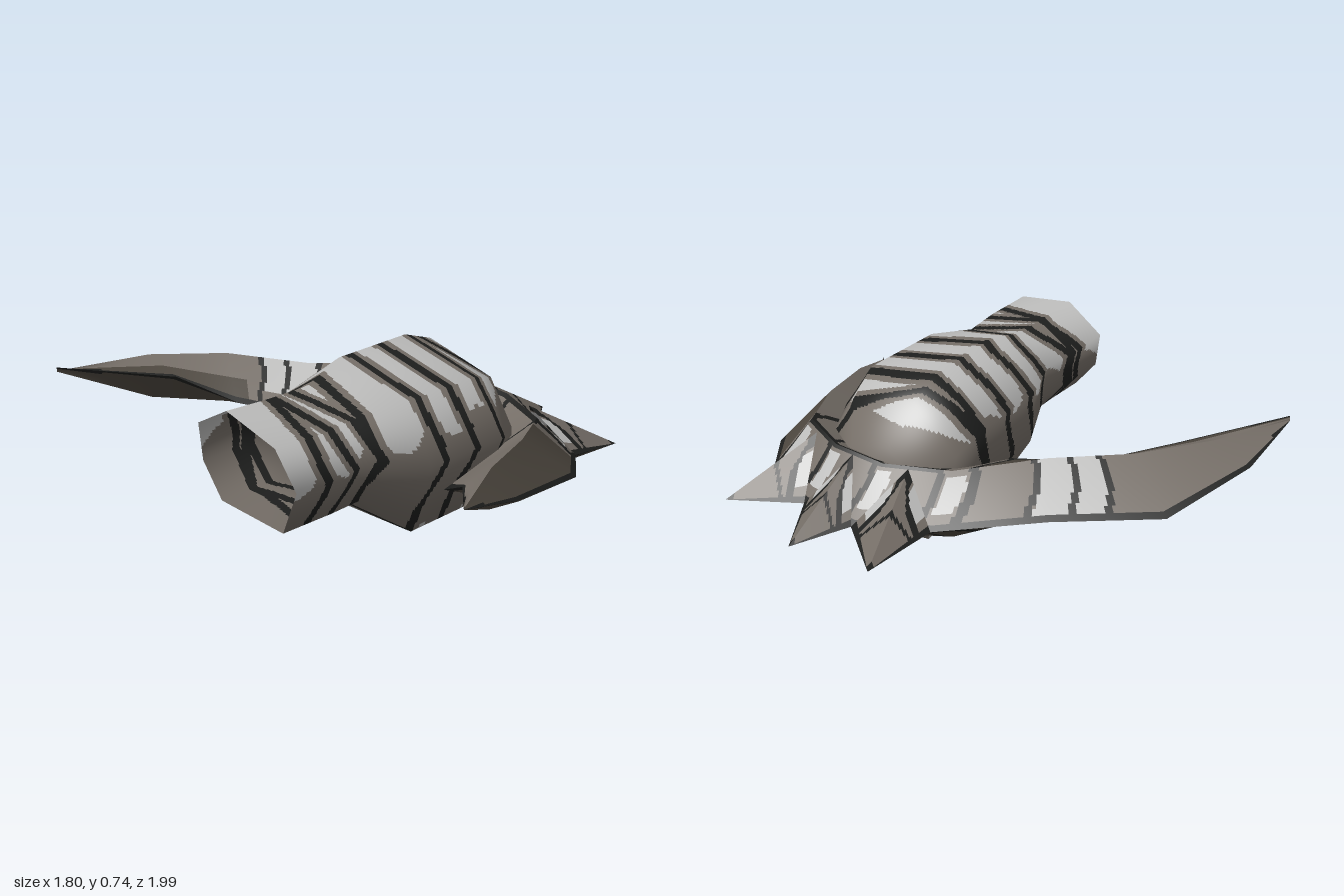
import * as THREE from 'three';

const flat = (name, color) => {
  const m = new THREE.MeshStandardMaterial({ color, side: THREE.DoubleSide });
  m.name = name;
  return m;
};
const LIGHT = 0, BROWN = 1, DARK = 2, BLACK = 3;
const V = (x, y, z) => new THREE.Vector3(x, y, z);

// Subdivides a coarse grid of points with smooth normals; paint(p, u, v) picks
// the colour of each small cell, u and v counting in coarse cells.
function panel(name, grid, closed, su, sv, materials, paint) {
  const R = grid.length, C = grid[0].length, cols = closed ? C : C - 1;
  const coarse = new THREE.BufferGeometry().setFromPoints(grid.flat());
  const ci = [];
  for (let r = 0; r < R - 1; r++) {
    for (let c = 0; c < cols; c++) {
      const d = (c + 1) % C, a = r * C + c, b = r * C + d, e = a + C, f = b + C;
      ci.push(a, e, b, b, e, f);
    }
  }
  coarse.setIndex(ci);
  coarse.computeVertexNormals();
  const N = coarse.attributes.normal;
  const normalAt = (r, c) => new THREE.Vector3().fromBufferAttribute(N, r * C + c);
  const pointAt = (r, c) => grid[r][c];
  const mix = (get, u, v) => {
    const r = Math.min(Math.floor(u), R - 2), c = Math.min(Math.floor(v), cols - 1);
    const d = (c + 1) % C;
    const p = get(r, c).clone().lerp(get(r, d), v - c);
    return p.lerp(get(r + 1, c).clone().lerp(get(r + 1, d), v - c), u - r);
  };

  const nu = (R - 1) * su, nv = cols * sv;
  const pos = [], nor = [], lists = materials.map(() => []);
  for (let i = 0; i <= nu; i++) {
    for (let j = 0; j <= nv; j++) {
      pos.push(...mix(pointAt, i / su, j / sv));
      nor.push(...mix(normalAt, i / su, j / sv).normalize());
    }
  }
  for (let i = 0; i < nu; i++) {
    for (let j = 0; j < nv; j++) {
      const u = (i + 0.5) / su, v = (j + 0.5) / sv;
      const a = i * (nv + 1) + j, b = a + 1, e = a + nv + 1, f = e + 1;
      lists[paint(mix(pointAt, u, v), u, v)].push(a, e, b, b, e, f);
    }
  }
  const geo = new THREE.BufferGeometry();
  geo.setAttribute('position', new THREE.Float32BufferAttribute(pos, 3));
  geo.setAttribute('normal', new THREE.Float32BufferAttribute(nor, 3));
  geo.setIndex(lists.flat());
  let start = 0;
  lists.forEach((l, m) => {
    if (l.length) geo.addGroup(start, l.length, m);
    start += l.length;
  });
  const mesh = new THREE.Mesh(geo, materials);
  mesh.name = name;
  return mesh;
}

// Striped sleeve: x, top, bottom, back z, front z
const SLEEVE = [
  [-0.88, 0.71, 0.305, 0.03, 0.62], [-0.66, 0.69, 0.295, 0.03, 0.63],
  [-0.47, 0.68, 0.27, 0.05, 0.6], [-0.27, 0.735, 0.065, -0.03, 0.71],
  [0.13, 0.71, 0.055, -0.06, 0.73], [0.3, 0.64, 0.0, -0.04, 0.66],
  [0.42, 0.46, 0.08, 0.09, 0.52], [0.46, 0.35, 0.2, 0.25, 0.4], [0.465, 0.29, 0.28, 0.32, 0.33],
];
// Cross-section of the sleeve as z, y within its bounds
const SECTION = [[1, 0.1], [0.6, 0.77], [-0.37, 1], [-1, 0.42], [-0.93, -0.35], [-0.55, -1], [0.72, -0.9]];
// Black rings: x at the middle, slant along z, highest y
const RINGS = [
  [-0.69, -0.17, 1], [-0.64, 0.17, 1], [-0.53, 0.3, 1], [-0.43, -0.08, 1], [-0.21, 0.09, 1],
  [-0.03, 0.08, 1], [0.15, 0.05, 1], [0.26, 0.28, 1], [0.34, 0.1, 0.35], [0.44, -0.1, 0.35],
];

function paintSleeve(p) {
  const wob = 0.01 * Math.sin(p.y * 17 + p.z * 11);
  if (p.x > 0.452) return BLACK;
  let d = 9;
  for (const [c, s, high] of RINGS) {
    if (p.y > high) continue;
    const x = c + s * (p.z - 0.33) + 0.25 * Math.min(0, p.y - 0.5) + wob;
    d = Math.min(d, Math.abs(p.x - x));
  }
  if (d < 0.019) return BLACK;
  if (d < 0.046) return BROWN;
  const limit = 0.52 + 0.03 * Math.sin(p.x * 23);
  const under = p.y < 0.09 + 0.03 * Math.sin(p.x * 19);
  return p.y > limit || under ? LIGHT : BROWN;
}

function sleeve(materials) {
  const grid = SLEEVE.map(([x, top, bottom, back, front], i) => SECTION.map(([cz, cy]) => {
    const z = (back + front) / 2 + (front - back) / 2 * cz;
    const y = (top + bottom) / 2 + (top - bottom) / 2 * cy;
    return V(i ? x : x - 0.06 * (z - 0.33), y, z);
  }));
  return panel('stripedSleeve', grid, true, 36, 16, materials, paintSleeve);
}

// Crescent blade, back tip to front tip:
// inner x, z, outer x, z, edge y, top y, bottom y, ridge position across
const BLADE = [
  [-0.83, -0.983, -0.826, -0.987, 0.47, 0.472, 0.468, 0.5],
  [-0.43, -0.66, -0.46, -1.0, 0.4, 0.48, 0.27, 0.5],
  [-0.29, -0.42, -0.02, -0.87, 0.31, 0.465, 0.225, 0.45],
  [-0.15, -0.18, 0.25, -0.48, 0.28, 0.44, 0.17, 0.5],
  [-0.13, 0.02, 0.54, -0.1, 0.23, 0.425, 0.11, 0.73],
  [0.1, 0.18, 0.67, 0.22, 0.2, 0.42, 0.08, 0.66],
  [0.1, 0.42, 0.65, 0.51, 0.2, 0.42, 0.08, 0.67],
  [0.02, 0.58, 0.55, 0.8, 0.21, 0.425, 0.09, 0.65],
  [-0.14, 0.66, 0.35, 0.95, 0.24, 0.445, 0.16, 0.57],
  [-0.18, 0.79, -0.08, 0.99, 0.32, 0.445, 0.26, 0.5],
  [-0.37, 0.957, -0.368, 0.961, 0.385, 0.387, 0.383, 0.5],
];

// v runs from the ridge (0) to the sharp edge (1)
function paintBlade(top, outer, u, v) {
  const w = u + (outer ? 0.04 : -0.04) * Math.sin(v * 5);
  const near = (x, r) => Math.abs(w - x) < r;
  if (v > 0.87 || ((u < 0.4 || u > 9.6) && v > 0.7)) return BLACK;
  if (top && u > 4.2 && u < 7.2 && v < 0.07) return BLACK;
  if ([2.42, 2.75, 3.14].some((x) => near(x, 0.035))) return BLACK;
  if ([3.76, 4.15, 5.14, 6.16, 7.12].some((x) => near(x, 0.055))) return BLACK;
  if (w > 2.42 && w < 3.1) return !outer && v > 0.65 ? BROWN : LIGHT;
  if (top && outer && v > 0.12 && v < 0.7 && [3.95, 4.95, 5.97, 6.94].some((x) => near(x, 0.11))) return LIGHT;
  if (!top) return DARK;
  if (outer) return u > 7.3 ? DARK : BROWN;
  if (u < 2.2 && v > 0.5) return DARK;
  return u > 3.3 && u < 3.8 ? DARK : BROWN;
}

function blade(materials) {
  const g = new THREE.Group();
  g.name = 'crescentBlade';
  for (const top of [true, false]) {
    for (const outer of [true, false]) {
      const grid = BLADE.map(([ix, iz, ox, oz, ye, yt, yb, f]) => {
        const ridge = V(ix + (ox - ix) * f, top ? yt : yb, iz + (oz - iz) * f);
        const edge = outer ? V(ox, ye, oz) : V(ix, ye + 0.02, iz);
        return [ridge, edge];
      });
      const name = (top ? 'upper' : 'lower') + (outer ? 'Outer' : 'Inner') + 'Face';
      g.add(panel(name, grid, false, 28, 18, materials, (p, u, v) => paintBlade(top, outer, u, v)));
    }
  }
  return g;
}

// Spike: a four-sided pyramid growing from the outer edge
function spike(name, a, b, ridge, tip, materials) {
  const g = new THREE.Group();
  g.name = name;
  const low = ridge.clone().setY(0.08);
  for (const [side, edge] of [['back', a], ['front', b]]) {
    for (const [level, mid] of [['Upper', ridge], ['Lower', low]]) {
      const base = [mid, edge];
      const grid = [base, base.map((p) => p.clone().lerp(tip, 0.995))];
      const upper = level === 'Upper';
      g.add(panel(side + level + 'Face', grid, false, 32, 20, materials, (p, u, v) => {
        if (u > 0.9 || v > 0.88 || (v < 0.2 && u < 0.05)) return BLACK;
        // Pale gaps between spikes, a dark line, then the brown spike
        const gap = 0.17 * Math.min(1, v * 2.5);
        if (upper && u < gap) return v > 0.25 && v < 0.75 ? LIGHT : BROWN;
        if (u > gap && u < gap + 0.07) return BLACK;
        if (Math.abs(u - 0.45 + 0.15 * v) < 0.025) return BLACK;
        return upper ? BROWN : DARK;
      }));
    }
  }
  return g;
}

export function createModel() {
  const materials = [
    flat('pale grey', 0xbdbdbc), flat('grey brown', 0x756e67),
    flat('dark brown', 0x4d473f), flat('black', 0x1e1f1e),
  ];
  const model = new THREE.Group();
  model.name = 'stripedClawGuard';
  model.add(sleeve(materials), blade(materials));
  const valleys = [V(0.54, 0.23, -0.1), V(0.67, 0.2, 0.22), V(0.65, 0.2, 0.51), V(0.55, 0.21, 0.8)];
  const ridges = [V(0.45, 0.42, 0.09), V(0.49, 0.42, 0.36), V(0.44, 0.42, 0.62)];
  const tips = [V(0.87, 0.19, -0.055), V(0.9, 0.165, 0.355), V(0.81, 0.18, 0.825)];
  ['backSpike', 'middleSpike', 'frontSpike'].forEach((name, i) => {
    model.add(spike(name, valleys[i], valleys[i + 1], ridges[i], tips[i], materials));
  });
  return model;
}
